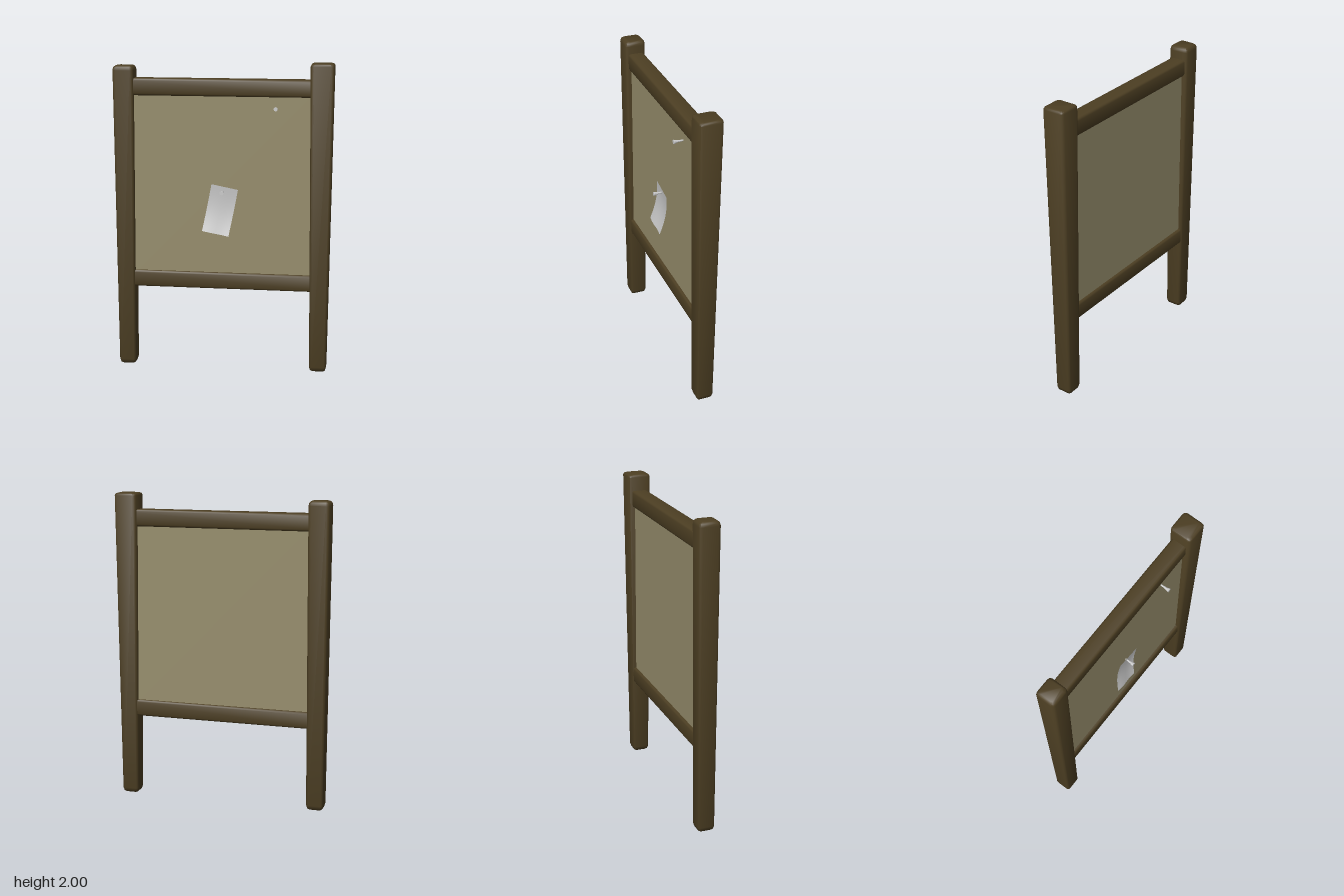
import * as THREE from 'three';
import { toCreasedNormals } from 'three/addons/utils/BufferGeometryUtils.js';

const wood = new THREE.MeshStandardMaterial({ color: 0x4d3f23 });
const boardMat = new THREE.MeshStandardMaterial({ color: 0x968d6c });
const grey = new THREE.MeshStandardMaterial({ color: 0xcccccc });
const paperMat = new THREE.MeshStandardMaterial({ color: 0xcccccc, side: THREE.DoubleSide });

// Square timber along y with rounded corners, lofted through rings of [y, halfX, halfZ, cornerRadius]
function timber(rings) {
  const steps = 2, n = 4 * (steps + 1);
  const pos = [], index = [];
  for (const [y, hx, hz, r] of rings) {
    for (let c = 0; c < 4; c++) {
      const sx = c === 0 || c === 3 ? 1 : -1, sz = c < 2 ? 1 : -1;
      for (let s = 0; s <= steps; s++) {
        const a = (c + s / steps) * Math.PI / 2;
        pos.push(sx * (hx - r) + r * Math.cos(a), y, sz * (hz - r) + r * Math.sin(a));
      }
    }
  }
  for (let k = 0; k < rings.length - 1; k++) {
    for (let i = 0; i < n; i++) {
      const a = k * n + i, b = k * n + (i + 1) % n;
      index.push(a, a + n, b, b, a + n, b + n);
    }
  }
  // end caps
  const top = (rings.length - 1) * n;
  for (let i = 1; i < n - 1; i++) {
    index.push(0, i, i + 1, top, top + i + 1, top + i);
  }
  const g = new THREE.BufferGeometry();
  g.setAttribute('position', new THREE.Float32BufferAttribute(pos, 3));
  g.setIndex(index);
  return toCreasedNormals(g, 0.85);
}

function add(group, name, geometry, material, x, y, z) {
  const m = new THREE.Mesh(geometry, material);
  m.name = name;
  m.position.set(x, y, z);
  group.add(m);
  return m;
}

// Post that widens towards its bevelled top
function post(height, topHalf, bevel) {
  const foot = 0.055;
  return timber([
    [0, foot - 0.015, foot - 0.015, 0.012],
    [0.007, foot - 0.006, foot - 0.006, 0.014],
    [0.03, foot, foot, 0.014],
    [height - bevel, topHalf, topHalf, 0.02],
    [height - bevel * 0.35, topHalf - 0.004, topHalf - 0.004, 0.02],
    [height, topHalf - 0.016, topHalf - 0.016, 0.018],
  ]);
}

// Sheet of paper, tilted in its plane and curling off the board at the foot
function paper() {
  const w = 0.174, h = 0.308;
  const g = new THREE.PlaneGeometry(w, h, 6, 12);
  const p = g.attributes.position;
  for (let i = 0; i < p.count; i++) {
    const u = p.getX(i) / w + 0.5, t = 0.5 - p.getY(i) / h;
    const z = 0.012 - 0.010 * Math.sin(t * Math.PI) + 0.026 * t * t
      + 0.003 * Math.sin(u * Math.PI * 2) * t;
    p.setZ(i, z);
  }
  g.computeVertexNormals();
  return g;
}

// Pin with a flared head, pointing along +z
function pin() {
  const profile = [[0, -0.012], [0.004, -0.012], [0.006, 0.02], [0.008, 0.04],
    [0.013, 0.056], [0.013, 0.061], [0, 0.061]].map(([r, y]) => new THREE.Vector2(r, y));
  const g = new THREE.LatheGeometry(profile, 12);
  g.rotateX(Math.PI / 2);
  return toCreasedNormals(g, 0.7);
}

export function createModel() {
  const group = new THREE.Group();
  group.name = 'noticeBoard';
  const zc = -0.01;

  // posts
  add(group, 'rightPost', post(1.975, 0.067, 0.028), wood, -0.635, 0, zc - 0.001);
  add(group, 'leftPost', post(2, 0.074, 0.016), wood, 0.625, 0, zc);

  // rails
  const railGeometry = timber([[-0.61, 0.054, 0.051, 0.014], [0.61, 0.054, 0.051, 0.014]]);
  for (const [name, y] of [['topRail', 1.842], ['bottomRail', 0.59]]) {
    add(group, name, railGeometry, wood, -0.005, y, -0.012).rotation.z = Math.PI / 2;
  }

  // board between the rails
  add(group, 'panel', new THREE.BoxGeometry(1.2, 1.24, 0.066), boardMat, -0.005, 1.216, -0.012);

  // note and pins
  add(group, 'paper', paper(), paperMat, -0.015, 1.06, 0.022).rotation.z = -0.19;
  const pinGeometry = pin();
  add(group, 'notePin', pinGeometry, grey, 0, 1.18, 0.023);
  add(group, 'sparePin', pinGeometry, grey, 0.34, 1.72, 0.023);
  return group;
}
